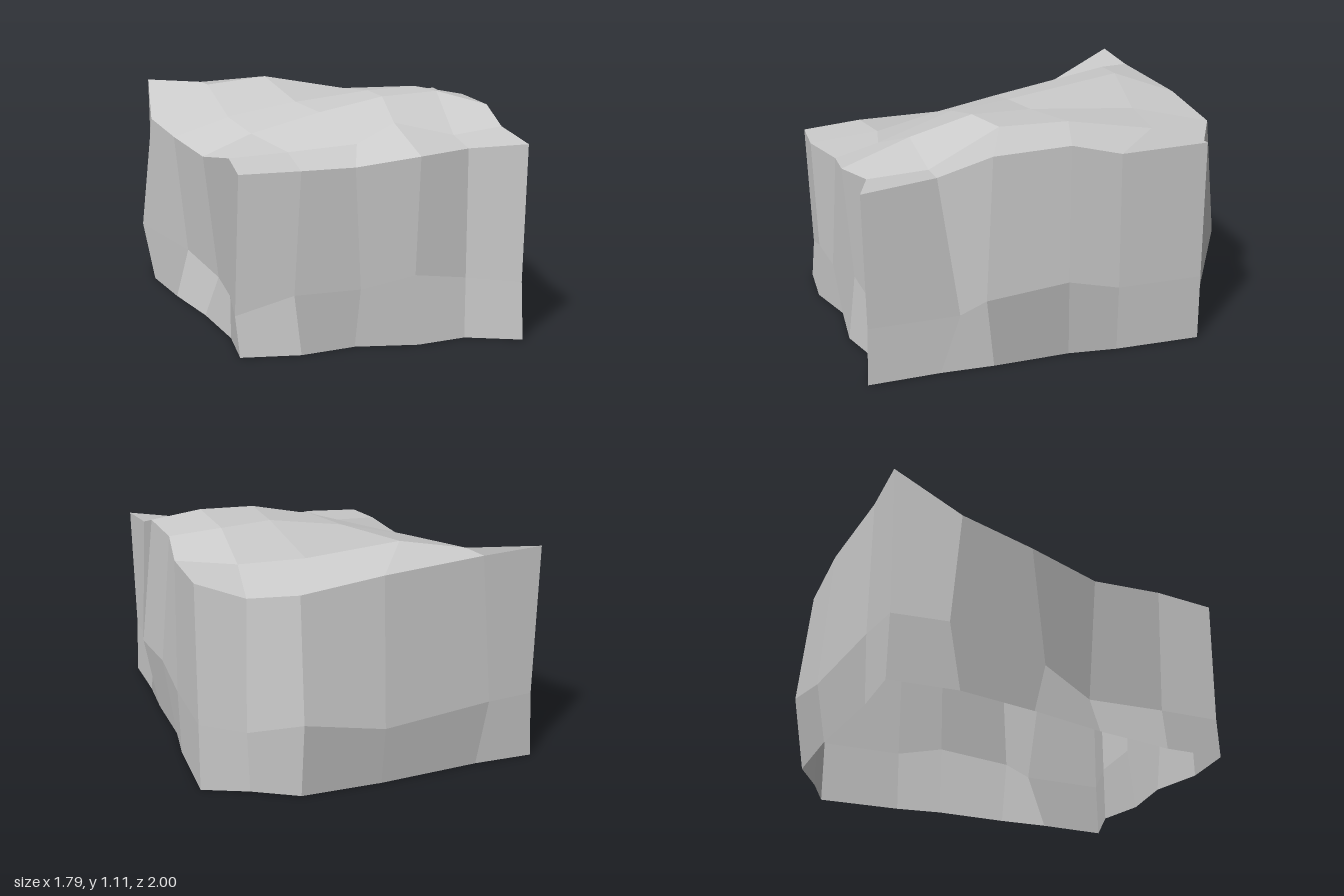
import * as THREE from 'three';

// Top surface: rows from back to front, each from -x to +x, as [x, y, z]
const TOP = [
  [[-0.85, 1.08, -0.81], [-0.55, 1.06, -0.83], [-0.04, 1.03, -0.91], [0.36, 0.98, -0.94], [0.58, 0.95, -0.83], [0.8, 1.015, -0.75]],
  [[-0.84, 0.9, -0.47], [-0.52, 1.06, -0.68], [-0.2, 1.107, -0.64], [0.24, 1.04, -0.58], [0.56, 1.03, -0.56], [0.815, 1.0, -0.32]],
  [[-0.73, 0.855, -0.08], [-0.45, 0.96, -0.04], [-0.1, 1.035, -0.02], [0.28, 1.088, -0.03], [0.55, 1.095, -0.14], [0.8, 1.055, -0.08]],
  [[-0.6, 0.81, 0.3], [-0.36, 0.92, 0.3], [-0.02, 1.02, 0.3], [0.3, 1.09, 0.27], [0.59, 1.107, 0.21], [0.83, 1.045, 0.3]],
  [[-0.5, 0.865, 0.7], [-0.22, 0.88, 0.65], [0.1, 0.92, 0.7], [0.3, 1.0, 0.58], [0.6, 0.93, 0.55], [0.835, 0.97, 0.56]],
  [[-0.48, 0.84, 1.0], [-0.2, 0.85, 1.0], [0.06, 0.845, 0.91], [0.36, 0.89, 0.92], [0.6, 0.91, 0.84], [0.865, 0.935, 0.91]],
];

// Uneven ring part way up the walls: front, right, back, then left
const MIDDLE = [
  [-0.5, 0.19, 0.98], [-0.23, 0.275, 0.98], [0.08, 0.285, 0.95], [0.35, 0.325, 0.88], [0.6, 0.295, 0.84],
  [0.855, 0.28, 0.9], [0.825, 0.28, 0.46], [0.895, 0.37, 0.35], [0.855, 0.4, -0.06], [0.825, 0.33, -0.32],
  [0.8, 0.33, -0.75], [0.59, 0.3, -0.83], [0.36, 0.38, -1.0], [-0.04, 0.3, -0.96], [-0.6, 0.33, -0.85],
  [-0.84, 0.33, -0.8], [-0.9, 0.3, -0.54], [-0.67, 0.27, 0.0], [-0.53, 0.19, 0.28], [-0.5, 0.2, 0.68],
];

// Joins a grid of points into four-sided facets, each with a single normal
function facets(name, rows, material) {
  const positions = [];
  const normals = [];
  const grid = rows.map((row) => row.map((p) => new THREE.Vector3(...p)));
  for (let r = 0; r < grid.length - 1; r++) {
    for (let c = 0; c < grid[r].length - 1; c++) {
      const a = grid[r][c], b = grid[r][c + 1], d = grid[r + 1][c], e = grid[r + 1][c + 1];
      const normal = e.clone().sub(a).cross(b.clone().sub(d)).normalize();
      // Split along the shorter diagonal
      const corners = a.distanceTo(e) < b.distanceTo(d) ? [a, d, e, a, e, b] : [a, d, b, b, d, e];
      for (const p of corners) {
        positions.push(...p.toArray());
        normals.push(...normal.toArray());
      }
    }
  }
  const geometry = new THREE.BufferGeometry();
  geometry.setAttribute('position', new THREE.Float32BufferAttribute(positions, 3));
  geometry.setAttribute('normal', new THREE.Float32BufferAttribute(normals, 3));
  const mesh = new THREE.Mesh(geometry, material);
  mesh.name = name;
  return mesh;
}

export function createModel() {
  const group = new THREE.Group();
  group.name = 'rockBlock';
  const stone = new THREE.MeshStandardMaterial({ color: 0xcccccc, side: THREE.DoubleSide });

  // Uneven top
  group.add(facets('rockTop', TOP, stone));

  // Rim of the top, walked in the same order as the middle ring
  const last = TOP.length - 1;
  const rim = [
    ...TOP[last],
    ...TOP.slice(1, last).reverse().map((row) => row[5]),
    ...[...TOP[0]].reverse(),
    ...TOP.slice(1, last).map((row) => row[0]),
  ];
  const close = (ring) => [...ring, ring[0]];
  const foot = rim.map(([x, , z]) => [x, 0, z]);

  // Walls, open underneath
  group.add(facets('rockWalls', [rim, MIDDLE, foot].map(close), stone));
  return group;
}
